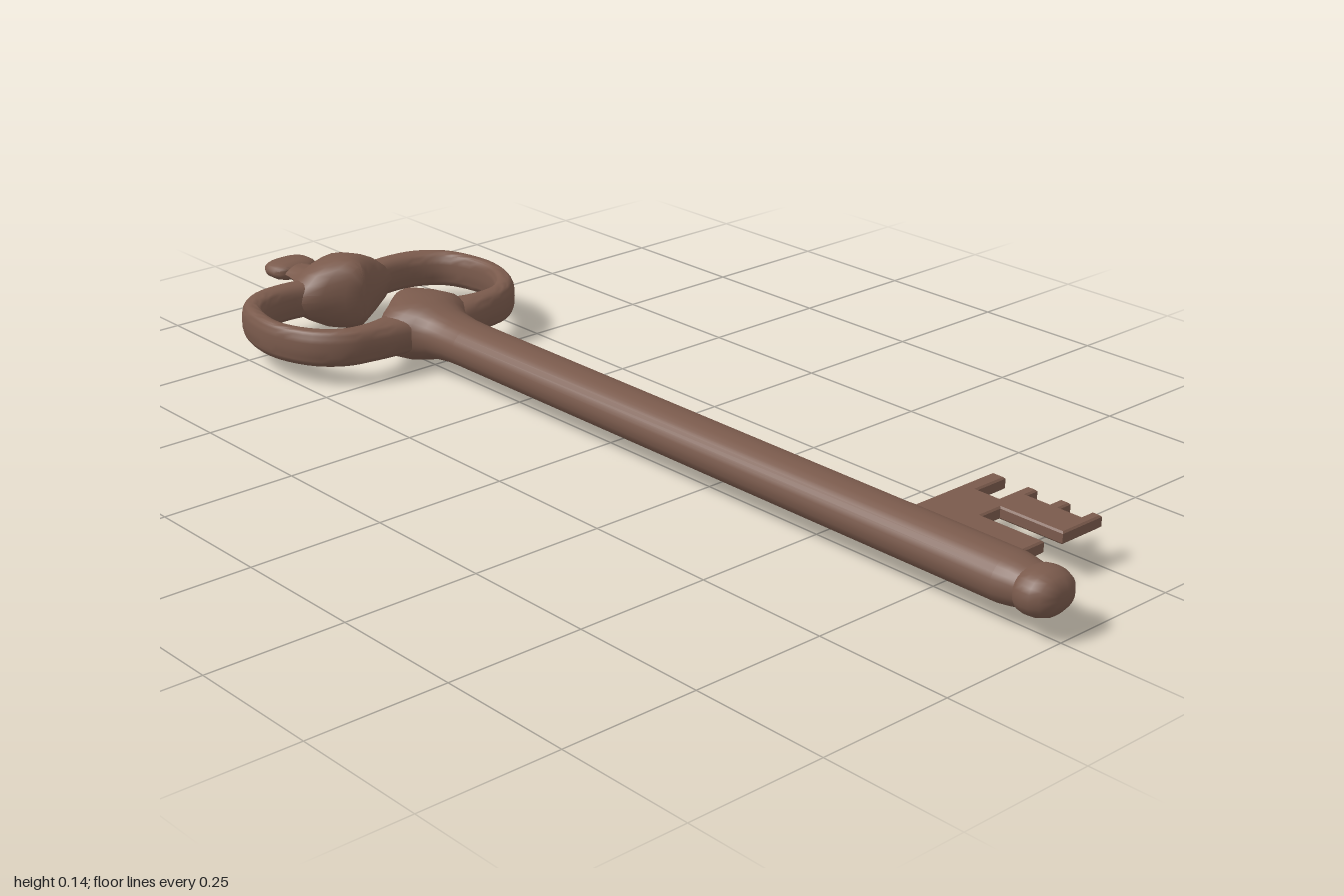
import * as THREE from 'three';
import { toCreasedNormals } from 'three/addons/utils/BufferGeometryUtils.js';

const Y = 0.072; // height of the key's axis
const SIDES = 24;
const material = new THREE.MeshStandardMaterial({ color: 0x7a5a4c });

// Skins rows of superellipse sections: centre, half-width vector (in x, z), half height, power
function sweep(rows, crease = 0.8) {
  const pos = [], index = [];
  for (const { x, z, ux, uz, h, power } of rows) {
    for (let i = 0; i < SIDES; i++) {
      const a = (i / SIDES) * Math.PI * 2, c = Math.cos(a), s = Math.sin(a);
      const w = Math.sign(c) * Math.abs(c) ** (2 / power);
      const v = Math.sign(s) * Math.abs(s) ** (2 / power);
      pos.push(x + ux * w, Y + h * v, z + uz * w);
    }
  }
  for (let r = 0; r < rows.length - 1; r++) {
    for (let i = 0; i < SIDES; i++) {
      const j = (i + 1) % SIDES, p = r * SIDES, q = p + SIDES;
      index.push(p + i, p + j, q + i, p + j, q + j, q + i);
    }
  }
  const g = new THREE.BufferGeometry();
  g.setAttribute('position', new THREE.Float32BufferAttribute(pos, 3));
  g.setIndex(index);
  g.computeVertexNormals();
  return toCreasedNormals(g, crease);
}

// Body along z from stations [z, half width, half height], closed at both ends
function loft(stations, power) {
  const rows = stations.map(([z, rx, h]) => ({ x: 0, z, ux: rx, uz: 0, h, power }));
  const close = (r) => ({ ...r, ux: 0, h: 0 });
  return sweep([close(rows[0]), ...rows, close(rows[rows.length - 1])]);
}

export function createModel() {
  const key = new THREE.Group();
  key.name = 'key';
  const add = (name, geometry) => {
    const mesh = new THREE.Mesh(geometry, material);
    mesh.name = name;
    key.add(mesh);
    return mesh;
  };

  // Shaft with the flared, pointed neck that carries the bow
  add('shaft', loft([
    [-0.617, 0.008, 0.025], [-0.605, 0.024, 0.046], [-0.585, 0.047, 0.058],
    [-0.56, 0.082, 0.06], [-0.53, 0.1, 0.06], [-0.505, 0.088, 0.059],
    [-0.485, 0.068, 0.054], [-0.46, 0.056, 0.046], [-0.42, 0.052, 0.041],
    [-0.38, 0.051, 0.04], [0.9, 0.05, 0.04], [0.92, 0.046, 0.038], [0.945, 0.042, 0.033],
  ], 2.2));

  // Rounded tip
  add('tip', loft([
    [0.935, 0.041, 0.032], [0.943, 0.047, 0.036], [0.957, 0.05, 0.038],
    [0.972, 0.049, 0.037], [0.987, 0.042, 0.032], [0.996, 0.031, 0.022], [1, 0.016, 0.011],
  ], 2.3));

  // Bow: outer and inner edges of the right half, from the crown to the neck
  const half = [
    [0.04, -0.82, 0.04, -0.76], [0.12, -0.833, 0.12, -0.777], [0.19, -0.823, 0.175, -0.77],
    [0.245, -0.775, 0.215, -0.745], [0.27, -0.69, 0.235, -0.69], [0.268, -0.63, 0.235, -0.63],
    [0.24, -0.555, 0.205, -0.575], [0.19, -0.51, 0.17, -0.55], [0.13, -0.493, 0.12, -0.548],
    [0.05, -0.48, 0.05, -0.57],
  ];
  const full = [...half, ...half.map(([a, b, c, d]) => [-a, b, -c, d]).reverse()];
  const outer = new THREE.CatmullRomCurve3(full.map((p) => new THREE.Vector3(p[0], 0, p[1])));
  const inner = new THREE.CatmullRomCurve3(full.map((p) => new THREE.Vector3(p[2], 0, p[3])));
  const rows = [];
  for (let i = 0; i <= 76; i++) {
    const o = outer.getPoint(i / 76), n = inner.getPoint(i / 76);
    rows.push({
      x: (o.x + n.x) / 2, z: (o.z + n.z) / 2,
      ux: (o.x - n.x) / 2, uz: (o.z - n.z) / 2, h: 0.035, power: 2.8,
    });
  }
  add('bow', sweep(rows));

  // Crown: swollen boss narrowing to a stem
  add('crown', loft([
    [-0.95, 0.034, 0.014], [-0.925, 0.035, 0.015], [-0.9, 0.04, 0.018], [-0.882, 0.048, 0.022],
    [-0.862, 0.066, 0.032], [-0.845, 0.086, 0.05], [-0.825, 0.108, 0.066], [-0.8, 0.116, 0.07],
    [-0.775, 0.108, 0.072], [-0.755, 0.075, 0.069], [-0.735, 0.035, 0.06], [-0.72, 0.008, 0.035],
  ], 1.7));

  // End knob
  add('knob', loft([
    [-1, 0.034, 0.01], [-0.995, 0.044, 0.015], [-0.982, 0.05, 0.018],
    [-0.955, 0.05, 0.018], [-0.943, 0.045, 0.016], [-0.937, 0.034, 0.011],
  ], 2.6));

  // Toothed bit, outlined as [x, z]
  const outline = [
    [0.03, 0.645], [0.255, 0.645], [0.255, 0.672], [0.185, 0.672], [0.185, 0.718],
    [0.255, 0.718], [0.255, 0.738], [0.228, 0.738], [0.228, 0.785], [0.255, 0.785],
    [0.255, 0.805], [0.228, 0.805], [0.228, 0.848], [0.255, 0.848], [0.255, 0.867],
    [0.16, 0.867], [0.16, 0.742], [0.115, 0.742], [0.115, 0.867], [0.03, 0.867],
  ];
  const bit = new THREE.ExtrudeGeometry(
    new THREE.Shape(outline.map(([x, z]) => new THREE.Vector2(x, -z))),
    { depth: 0.016, bevelThickness: 0.003, bevelSize: 0.003, bevelOffset: -0.003, bevelSegments: 1 },
  );
  bit.rotateX(-Math.PI / 2);
  add('bit', bit).position.y = Y - 0.008;

  // Tapered root joining the bit to the shaft
  const root = new THREE.Shape([[0.03, -0.024], [0.056, -0.017], [0.068, -0.011],
    [0.068, 0.011], [0.056, 0.017], [0.03, 0.024]].map(([x, y]) => new THREE.Vector2(x, y)));
  add('bitRoot', new THREE.ExtrudeGeometry(root, { depth: 0.23, bevelEnabled: false }))
    .position.set(0, Y, 0.64);

  return key;
}
